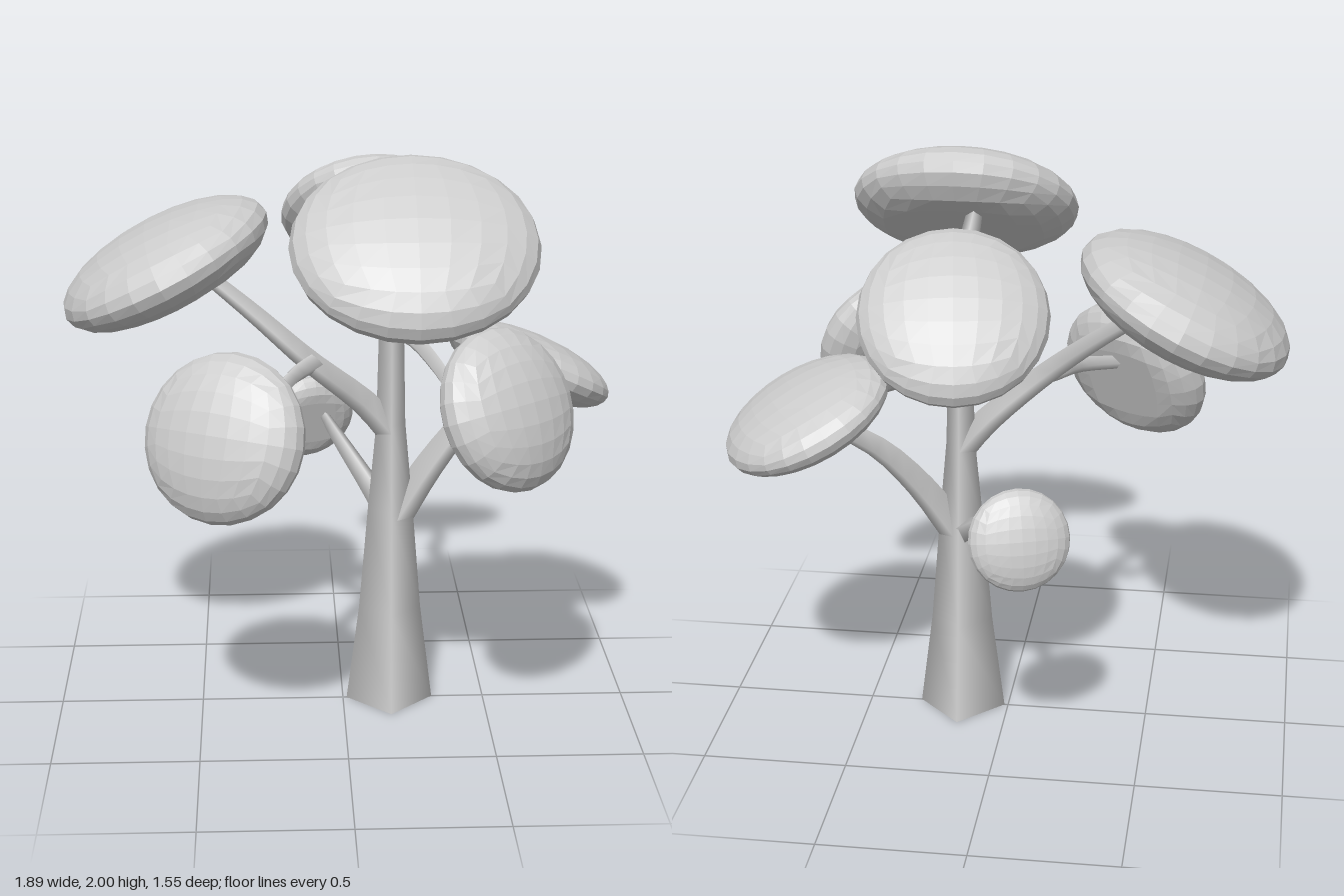
import * as THREE from 'three';

const grey = new THREE.MeshStandardMaterial({ color: 0xcccccc });
grey.name = 'pale grey';

// Four-sided tapering limb through points, thickness going from r0 to r1
function limb(name, pts, r0, r1) {
  const curve = new THREE.CatmullRomCurve3(pts.map(p => new THREE.Vector3(...p)), false, 'centripetal');
  const segs = (pts.length - 1) * 3, sides = 4;
  const geo = new THREE.TubeGeometry(curve, segs, 1, sides);
  const pos = geo.attributes.position, v = new THREE.Vector3();
  for (let i = 0; i <= segs; i++) {
    const c = curve.getPointAt(i / segs), r = r0 + (r1 - r0) * i / segs;
    for (let j = 0; j <= sides; j++) {
      const k = i * (sides + 1) + j;
      v.fromBufferAttribute(pos, k).sub(c).multiplyScalar(r).add(c);
      pos.setXYZ(k, v.x, v.y, v.z);
    }
  }
  const mesh = new THREE.Mesh(geo, grey);
  mesh.name = name;
  return mesh;
}

// Faceted flattened dome facing along normal; radii are [horizontal, slope, thickness]
function foliage(name, centre, normal, [a, b, t]) {
  const box = new THREE.BoxGeometry(2, 2, 2, 6, 6, 6);
  const pos = box.attributes.position, v = new THREE.Vector3();
  for (let i = 0; i < pos.count; i++) {
    v.fromBufferAttribute(pos, i);
    // even out the grid, round it, then flatten the underside
    v.set(...v.toArray().map(c => Math.tan(c * Math.PI / 4))).normalize();
    v.y = Math.max(v.y, -0.75);
    pos.setXYZ(i, v.x * a, v.y * t, v.z * b);
  }
  const geo = box.toNonIndexed();
  geo.computeVertexNormals();
  const n = new THREE.Vector3(...normal).normalize();
  const u = new THREE.Vector3(0, 1, 0).cross(n).normalize();
  const w = u.clone().cross(n);
  const mesh = new THREE.Mesh(geo, grey);
  mesh.quaternion.setFromRotationMatrix(new THREE.Matrix4().makeBasis(u, n, w));
  mesh.position.set(...centre);
  mesh.name = name;
  return mesh;
}

export function createModel() {
  const tree = new THREE.Group();
  tree.name = 'tree';

  // Square trunk with its corners on the axes
  const profile = [[0.152, 0], [0.108, 0.35], [0.078, 0.72], [0.05, 1.03], [0.042, 1.4]];
  const trunk = new THREE.Mesh(
    new THREE.LatheGeometry(profile.map(p => new THREE.Vector2(...p)), 4), grey);
  trunk.position.x = 0.165;
  trunk.name = 'trunk';
  const base = new THREE.Mesh(new THREE.CircleGeometry(0.152, 4), grey);
  base.rotation.x = Math.PI / 2;
  base.position.x = 0.165;
  base.name = 'trunkBase';
  tree.add(trunk, base);

  // Branches
  tree.add(
    limb('topBranch', [[0.165, 1.36, 0], [0.16, 1.58, 0], [0.15, 1.7, 0.08], [0.15, 1.75, 0.2], [0.17, 1.75, 0.4]], 0.045, 0.025),
    limb('backBranch', [[0.16, 1.42, 0], [0.15, 1.55, -0.04], [0.09, 1.62, -0.18], [0.13, 1.63, -0.3], [0.12, 1.65, -0.46]], 0.035, 0.018),
    limb('leftwardBranch', [[0.165, 1.0, 0], [0.08, 1.1, 0.01], [-0.12, 1.27, 0.05], [-0.3, 1.42, 0], [-0.5, 1.57, -0.08]], 0.05, 0.025),
    limb('leftwardFork', [[-0.1, 1.26, 0.05], [-0.16, 1.25, 0.14], [-0.22, 1.23, 0.27], [-0.38, 1.18, 0.46]], 0.035, 0.022),
    limb('frontBranch', [[0.165, 1.37, -0.02], [0.24, 1.34, 0.06], [0.32, 1.26, 0.15], [0.36, 1.22, 0.28], [0.47, 1.21, 0.45]], 0.035, 0.022),
    limb('sideBranch', [[0.18, 0.68, 0], [0.3, 0.86, -0.03], [0.44, 1.02, -0.08], [0.62, 1.15, -0.17]], 0.06, 0.035),
    limb('lowBranch', [[0.165, 0.68, 0], [0.1, 0.76, -0.12], [0, 0.88, -0.28], [-0.05, 0.91, -0.49]], 0.045, 0.018),
  );

  // Leaf clumps
  tree.add(
    foliage('topFoliage', [0.21, 1.75, 0.46], [0, 0.78, 0.62], [0.4, 0.365, 0.145]),
    foliage('leftwardFoliage', [-0.6, 1.585, -0.065], [-0.45, 0.89, 0], [0.405, 0.385, 0.15]),
    foliage('backFoliage', [0.1, 1.67, -0.54], [-0.1, 0.75, -0.66], [0.305, 0.315, 0.12]),
    foliage('sideFoliage', [0.66, 1.18, -0.2], [0.4, 0.9, -0.2], [0.305, 0.305, 0.11]),
    foliage('frontFoliage', [0.51, 1.225, 0.5], [0.6, 0.4, 0.7], [0.27, 0.27, 0.125]),
    foliage('frontLeftwardFoliage', [-0.4, 1.14, 0.505], [-0.45, 0.35, 0.82], [0.285, 0.28, 0.125]),
    foliage('lowFoliage', [-0.105, 0.9, -0.51], [-0.3, 0.3, -0.9], [0.17, 0.17, 0.065]),
  );
  return tree;
}
